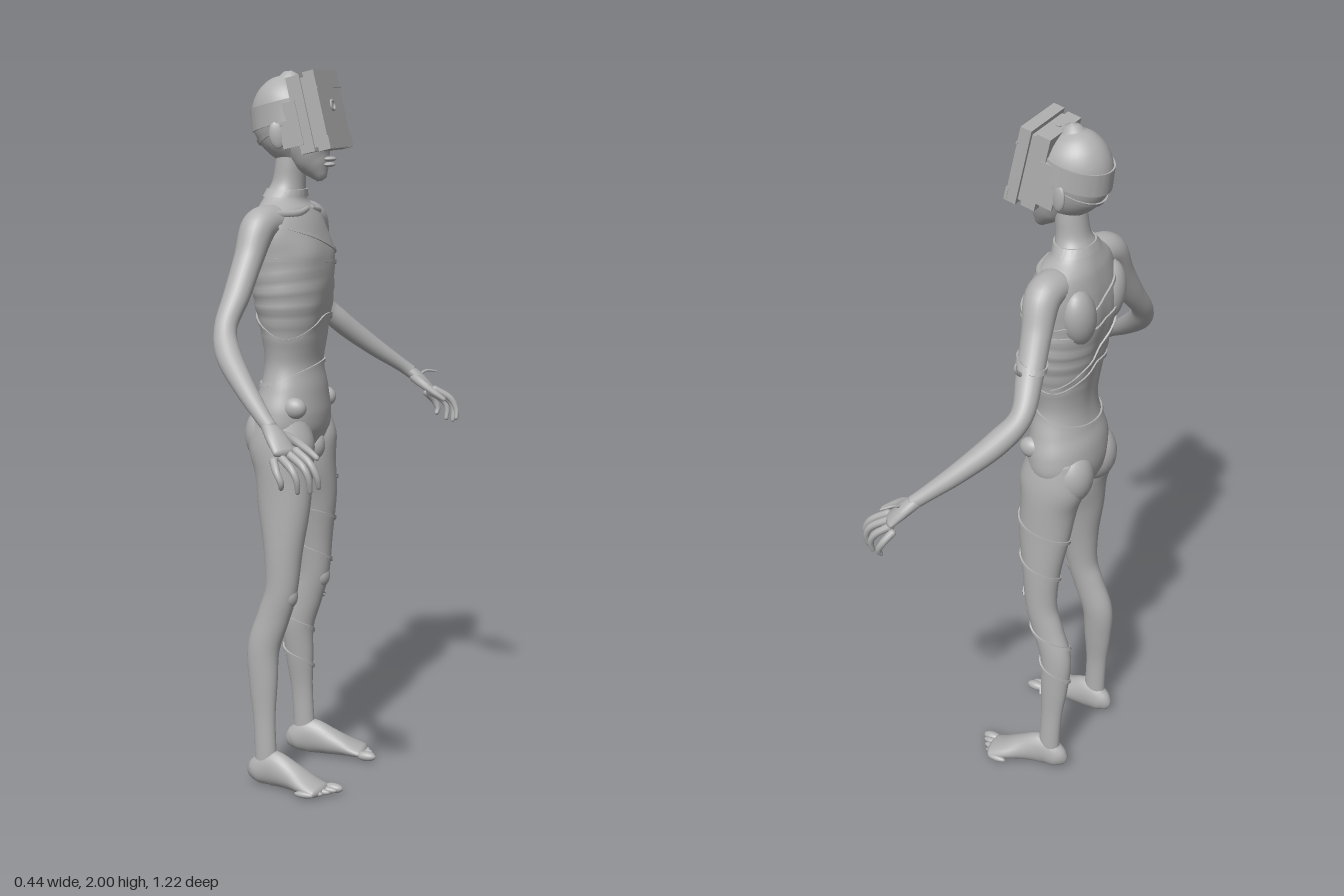
import * as THREE from 'three';
import { toCreasedNormals } from 'three/addons/utils/BufferGeometryUtils.js';

const clay = new THREE.MeshStandardMaterial({ color: 0xb0b0b0, side: THREE.DoubleSide });
clay.name = 'clay grey';

const V3 = (x, y, z) => new THREE.Vector3(x, y, z);
const bump = (v, mid, w) => Math.exp(-(((v - mid) / w) ** 2));

// Smooth interpolation through rows [x, y, z, ru, rv]
function rowAt(rows, t) {
  const n = rows.length - 1, f = Math.min(Math.max(t, 0), 1) * n;
  const i = Math.min(Math.floor(f), n - 1), u = f - i;
  const a = rows[Math.max(i - 1, 0)], b = rows[i], c = rows[i + 1], d = rows[Math.min(i + 2, n)];
  return b.map((_, k) => 0.5 * (2 * b[k] + (c[k] - a[k]) * u
    + (2 * a[k] - 5 * b[k] + 4 * c[k] - d[k]) * u * u
    + (3 * b[k] - a[k] - 3 * c[k] + d[k]) * u * u * u));
}

// Surface function: elliptical sections swept along the rows
function surface(rows, ref, mod = () => 0) {
  const frame = (t) => {
    const r = rowAt(rows, t), p = V3(...r);
    const T = V3(...rowAt(rows, t + 0.01)).sub(V3(...rowAt(rows, t - 0.01))).normalize();
    const V = ref.clone().cross(T).normalize();
    return { r, p, T, V, U: T.clone().cross(V) };
  };
  return (t, a, off = 0, scale = 1, slide = 0) => {
    const { r, p, T, U, V } = frame(t);
    const w = Math.atan2(Math.sin(a), Math.cos(a)), m = off + mod(w, p.y);
    return p.addScaledVector(U, Math.cos(a) * (Math.max(r[3], 0.002) + m) * scale)
      .addScaledVector(V, Math.sin(a) * (Math.max(r[4], 0.002) + m) * scale)
      .addScaledVector(T, slide * Math.min(r[3], r[4]));
  };
}

// Mesh grid from rings of points
function gridGeometry(rings, closed) {
  const m = rings[0].length, pos = [], idx = [];
  rings.forEach((ring) => ring.forEach((p) => pos.push(p.x, p.y, p.z)));
  for (let i = 0; i < rings.length - 1; i++) {
    for (let j = 0; j < (closed ? m : m - 1); j++) {
      const k = (j + 1) % m, a = i * m + j, b = i * m + k;
      idx.push(a, a + m, b, b, a + m, b + m);
    }
  }
  const g = new THREE.BufferGeometry();
  g.setAttribute('position', new THREE.Float32BufferAttribute(pos, 3));
  g.setIndex(idx);
  g.computeVertexNormals();
  return g;
}

export function createModel() {
  const root = new THREE.Group();
  root.name = 'figure';

  const add = (name, geometry, parent = root) => {
    const mesh = new THREE.Mesh(geometry, clay);
    mesh.name = name;
    parent.add(mesh);
    return mesh;
  };
  // Lofted body part with rounded ends
  const loft = (name, rows, ref, seg = 24, steps = 40, mod) => {
    const at = surface(rows, ref, mod);
    const ring = (t, s, slide) => Array.from({ length: seg },
      (_, j) => at(t, (j / seg) * Math.PI * 2, 0, s, slide));
    const rings = [ring(0, 0, -0.7), ring(0, 0.65, -0.5)];
    for (let i = 0; i <= steps; i++) rings.push(ring(i / steps, 1, 0));
    rings.push(ring(1, 0.65, 0.5), ring(1, 0, 0.7));
    add(name, gridGeometry(rings, true));
    return at;
  };
  const blob = (name, p, r, parent = root) => {
    const mesh = add(name, new THREE.SphereGeometry(1, 24, 16), parent);
    mesh.position.set(...p);
    mesh.scale.set(...r);
    return mesh;
  };
  // Flat band hugging a lofted part; height is a function of the angle
  const band = (name, at, yOf, half, a0 = 0, a1 = Math.PI * 2, thick = 0.005) => {
    const rising = at(1, 0).y > at(0, 0).y;
    const tOf = (y, a) => {
      let lo = 0, hi = 1;
      for (let i = 0; i < 22; i++) {
        const mid = (lo + hi) / 2;
        if ((at(mid, a).y < y) === rising) lo = mid; else hi = mid;
      }
      return lo;
    };
    const n = Math.ceil((a1 - a0) * 10), rings = [];
    for (let i = 0; i <= n; i++) {
      const a = a0 + ((a1 - a0) * i) / n, y = yOf(a);
      const lo = tOf(y - half, a), hi = tOf(y + half, a);
      rings.push([at(lo, a, -0.004), at(lo, a, thick), at(hi, a, thick), at(hi, a, -0.004)]);
    }
    add(name, toCreasedNormals(gridGeometry(rings, false), 0.7));
  };

  const X = V3(1, 0, 0), Y = V3(0, 1, 0);

  // Torso and neck, with ribs, chest, hollow belly and spine groove
  const torso = loft('torso', [
    [-0.09, 0.925, 0, 0.03, 0.03], [-0.093, 0.96, 0, 0.075, 0.09], [-0.098, 1.01, 0, 0.098, 0.145],
    [-0.095, 1.07, 0, 0.1, 0.148], [-0.09, 1.13, 0, 0.088, 0.13], [-0.09, 1.2, 0, 0.077, 0.112],
    [-0.088, 1.28, 0, 0.088, 0.125], [-0.09, 1.38, 0, 0.105, 0.147], [-0.1, 1.48, 0, 0.11, 0.155],
    [-0.107, 1.56, 0, 0.095, 0.16], [-0.112, 1.615, 0, 0.076, 0.14], [-0.112, 1.65, 0, 0.058, 0.085],
    [-0.105, 1.69, 0, 0.046, 0.053], [-0.098, 1.75, 0, 0.042, 0.047], [-0.09, 1.81, 0, 0.04, 0.045],
  ], X, 48, 110, (a, y) =>
    0.003 * Math.sin(y * 140) * bump(y, 1.38, 0.08) * Math.abs(Math.sin(a))
    - 0.012 * bump(y, 1.32, 0.07) * bump(a, 0, 0.4)
    + 0.008 * bump(y, 1.5, 0.05) * bump(Math.abs(a), 0.6, 0.35)
    - 0.01 * bump(y, 1.4, 0.17) * bump(Math.abs(a), Math.PI, 0.22));
  band('chestWrap', torso, (a) => 1.475 + 0.02 * Math.sin(a + 0.4), 0.005);
  band('ribWrap', torso, (a) => 1.3 + 0.03 * Math.cos(a * 2 + 0.5), 0.006);
  band('waistWrap', torso, (a) => 1.17 + 0.03 * Math.sin(a + 2), 0.005);
  band('shoulderWrap', torso, (a) => 1.535 + 0.055 * Math.sin(a), 0.005);
  band('backWrap', torso, (a) => 1.38 + 0.1 * Math.sin(a), 0.006, 1.8, 4.5);
  band('collar', torso, () => 1.668, 0.01);

  // Skull, jaw and head straps
  const skull = loft('skull', [
    [-0.085, 1.765, 0, 0.045, 0.045], [-0.095, 1.8, 0, 0.075, 0.068], [-0.108, 1.85, 0, 0.096, 0.082],
    [-0.108, 1.89, 0, 0.1, 0.087], [-0.106, 1.93, 0, 0.087, 0.077], [-0.103, 1.96, 0, 0.062, 0.055],
    [-0.1, 1.978, 0, 0.03, 0.027],
  ], X, 36, 36);
  loft('jaw', [
    [-0.012, 1.715, 0, 0.022, 0.022], [-0.025, 1.74, 0, 0.042, 0.04], [-0.04, 1.77, 0, 0.058, 0.055],
    [-0.055, 1.82, 0, 0.07, 0.068], [-0.065, 1.9, 0, 0.07, 0.073],
  ], X, 28, 20);
  blob('upperLip', [0.016, 1.76, 0], [0.017, 0.007, 0.025]);
  blob('lowerLip', [0.013, 1.745, 0], [0.017, 0.007, 0.022]);
  band('headStrap', skull, (a) => 1.885 + 0.025 * Math.cos(a), 0.03);
  band('lowerHeadStrap', skull, (a) => 1.84 + 0.04 * Math.cos(a), 0.005);

  // Visor: leaning box made of two slabs, with a frame and a peephole
  const visor = new THREE.Group();
  visor.name = 'visor';
  visor.position.set(-0.016, 1.885, 0);
  visor.rotation.z = 0.23;
  root.add(visor);
  const box = (name, size, p) => add(name, new THREE.BoxGeometry(...size), visor).position.set(...p);
  box('visorBack', [0.04, 0.208, 0.165], [-0.023, 0, 0]);
  box('visorCore', [0.02, 0.19, 0.155], [0.004, 0, 0]);
  box('visorFront', [0.032, 0.214, 0.174], [0.026, 0, 0]);
  box('visorBottomRim', [0.008, 0.035, 0.176], [0.041, -0.088, 0]);
  box('visorTopBand', [0.004, 0.006, 0.178], [0.0425, 0.06, 0]);
  const hole = add('peephole', new THREE.TorusGeometry(0.013, 0.004, 8, 20), visor);
  hole.position.set(0.043, 0.01, 0);
  hole.rotation.y = Math.PI / 2;
  const bolt = add('topBolt', new THREE.CylinderGeometry(0.008, 0.008, 0.006, 12), visor);
  bolt.position.set(-0.02, 0.104, 0);

  for (const s of [1, -1]) {
    const side = s > 0 ? 'right' : 'left';
    const m = (rows) => rows.map(([x, y, z, ...r]) => [x, y, z * s, ...r]);

    // Head sides
    const ear = blob(side + 'Ear', [-0.105, 1.825, 0.083 * s], [0.022, 0.037, 0.009]);
    ear.rotation.set(0, 0.35 * s, 0.15);
    box(side + 'VisorFlap', [0.06, 0.12, 0.008], [-0.06, -0.02, 0.081 * s]);

    // Shoulder blades, collar bones, hips and buttocks
    blob(side + 'ShoulderBlade', [-0.168, 1.505, 0.085 * s], [0.045, 0.085, 0.055]).rotation.x = 0.25 * s;
    loft(side + 'CollarBone', m([[-0.045, 1.625, 0.015, 0.008, 0.008],
      [-0.05, 1.615, 0.08, 0.01, 0.01], [-0.1, 1.615, 0.15, 0.012, 0.012]]), X, 10, 10);
    blob(side + 'HipBone', [-0.045, 1.085, 0.115 * s], [0.035, 0.03, 0.025]);
    blob(side + 'Buttock', [-0.14, 1.0, 0.07 * s], [0.066, 0.085, 0.066]);

    // Leg
    const leg = loft(side + 'Leg', m([
      [-0.1, 1.06, 0.085, 0.075, 0.056], [-0.095, 0.98, 0.086, 0.095, 0.07], [-0.086, 0.9, 0.09, 0.083, 0.07],
      [-0.08, 0.8, 0.105, 0.075, 0.055], [-0.078, 0.68, 0.118, 0.056, 0.045], [-0.082, 0.57, 0.125, 0.047, 0.038],
      [-0.105, 0.49, 0.128, 0.047, 0.035], [-0.133, 0.4, 0.132, 0.047, 0.035], [-0.132, 0.3, 0.138, 0.042, 0.029],
      [-0.127, 0.2, 0.144, 0.033, 0.022], [-0.122, 0.1, 0.147, 0.032, 0.023], [-0.12, 0.05, 0.147, 0.035, 0.024],
    ]), X, 28, 70);
    blob(side + 'Kneecap', [-0.058, 0.555, 0.125 * s], [0.025, 0.035, 0.027]);
    if (s < 0) {
      band('thighWrap', leg, (a) => 0.86 - 0.02 * a, 0.005, 0, 13);
      band('shinWrap', leg, (a) => 0.5 - 0.018 * a, 0.005, 0, 13);
    }

    // Foot and toes
    loft(side + 'Foot', m([
      [-0.165, 0.035, 0.143, 0.026, 0.018], [-0.145, 0.042, 0.145, 0.04, 0.028], [-0.1, 0.053, 0.147, 0.052, 0.032],
      [-0.04, 0.04, 0.155, 0.039, 0.038], [0.015, 0.025, 0.168, 0.024, 0.047], [0.055, 0.016, 0.173, 0.015, 0.048],
    ]), Y, 24, 24);
    for (let i = 0; i < 5; i++) {
      const r = i ? 0.0095 : 0.014;
      blob(side + 'Toe' + (i + 1), [0.078 - 0.01 * i - 0.001 * i * i, 0.014, (0.137 + 0.0195 * i) * s],
        [0.03, r, r + 0.001]);
    }

    // Arm; the left forearm reaches a little further forward
    const d = s > 0 ? 0 : 0.025;
    const arm = loft(side + 'Arm', m([
      [-0.11, 1.595, 0.1, 0.05, 0.045], [-0.128 + d, 1.58, 0.16, 0.049, 0.048], [-0.137 + d, 1.5, 0.21, 0.041, 0.037],
      [-0.145 + d * 0.8, 1.41, 0.27, 0.037, 0.033], [-0.15 + d * 0.5, 1.33, 0.335, 0.031, 0.029],
      [-0.12 + d, 1.265, 0.385, 0.034, 0.031], [-0.045 + d, 1.19, 0.45, 0.028, 0.027],
      [0.025 + d, 1.13, 0.503, 0.021, 0.02], [0.055 + d, 1.105, 0.522, 0.019, 0.02],
    ]), X, 24, 56);
    if (s < 0) {
      band('armWrap', arm, (a) => 1.44 + 0.012 * Math.cos(a), 0.006);
      loft('armSpike', [[-0.115, 1.42, -0.29, 0.006, 0.006], [-0.11, 1.445, -0.315, 0.005, 0.005],
        [-0.11, 1.465, -0.313, 0.003, 0.003]], X, 8, 8);
      loft('handSpike', [[0.1, 1.09, -0.53, 0.005, 0.005], [0.115, 1.105, -0.56, 0.004, 0.004],
        [0.14, 1.1, -0.585, 0.003, 0.003]], X, 8, 8);
    }

    // Palm, fingers and thumb
    loft(side + 'Palm', m([[0.045 + d, 1.112, 0.517, 0.018, 0.019], [0.075 + d, 1.085, 0.534, 0.018, 0.031],
      [0.107 + d, 1.05, 0.553, 0.013, 0.035]]), Y, 18, 12);
    for (let i = 0; i < 4; i++) {
      const f = i / 3, mix = (p, q) => p + (q - p) * f, arc = Math.sin(f * Math.PI) * 0.012;
      loft(side + 'Finger' + (i + 1), m([
        [mix(0.125, 0.085) + d, mix(1.055, 1.035), mix(0.53, 0.577), 0.011, 0.011],
        [mix(0.17, 0.102) + d + arc, mix(1.028, 1.01), mix(0.546, 0.598), 0.01, 0.01],
        [mix(0.19, 0.115) + d + arc, mix(0.995, 0.985), mix(0.548, 0.602), 0.0085, 0.0085],
        [mix(0.193, 0.113) + d + arc, mix(0.966, 0.968) - arc, mix(0.541, 0.595), 0.0065, 0.0065],
      ]), X, 10, 14);
    }
    loft(side + 'Thumb', m([[0.065 + d, 1.09, 0.517, 0.015, 0.015], [0.1 + d, 1.075, 0.491, 0.013, 0.013],
      [0.14 + d, 1.05, 0.487, 0.01, 0.01], [0.17 + d, 1.03, 0.492, 0.007, 0.007]]), Y, 10, 14);
  }

  // Loincloth bulge between the thighs
  blob('loincloth', [-0.035, 0.965, 0], [0.035, 0.045, 0.032]);
  return root;
}
